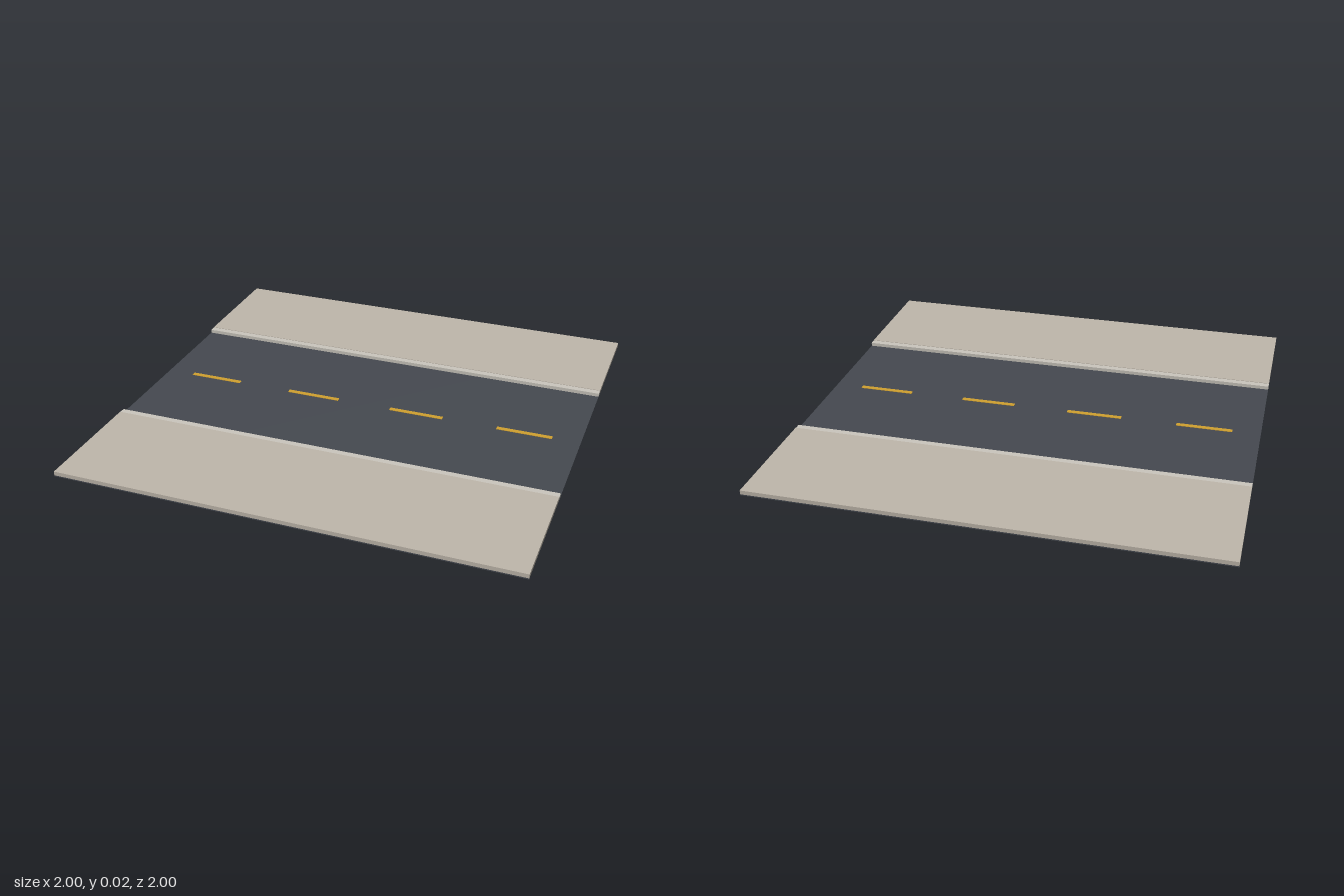
import * as THREE from 'three';

const material = (color) => new THREE.MeshStandardMaterial({ color });

// Box given by its size, bottom height and centre on the ground plane
function slab(name, mat, [w, h, d], x, bottom, z) {
  const mesh = new THREE.Mesh(new THREE.BoxGeometry(w, h, d), mat);
  mesh.name = name;
  mesh.position.set(x, bottom + h / 2, z);
  return mesh;
}

export function createModel() {
  const group = new THREE.Group();
  group.name = 'streetSection';
  const asphalt = material(0x454950);
  const paving = material(0xbfb7ab);
  const kerb = material(0xcac6bd);
  const paint = material(0xd0a030);
  const base = 0.005;

  // Asphalt sheet running beneath the whole tile
  group.add(slab('road', asphalt, [2, base, 2], 0, 0, 0));

  // Raised pavement with a slightly lower kerb on each side
  for (const [side, s] of [['front', 1], ['back', -1]]) {
    group.add(slab(`${side}Sidewalk`, paving, [2, 0.018, 0.53], 0, base, s * 0.735));
    group.add(slab(`${side}Curb`, kerb, [2, 0.016, 0.03], 0, base, s * 0.455));
  }

  // Dashed centre line
  for (let i = 0; i < 4; i++) {
    group.add(slab(`laneDash${i + 1}`, paint, [0.25, 0.002, 0.022], -0.75 + i * 0.5, base, 0));
  }
  return group;
}
